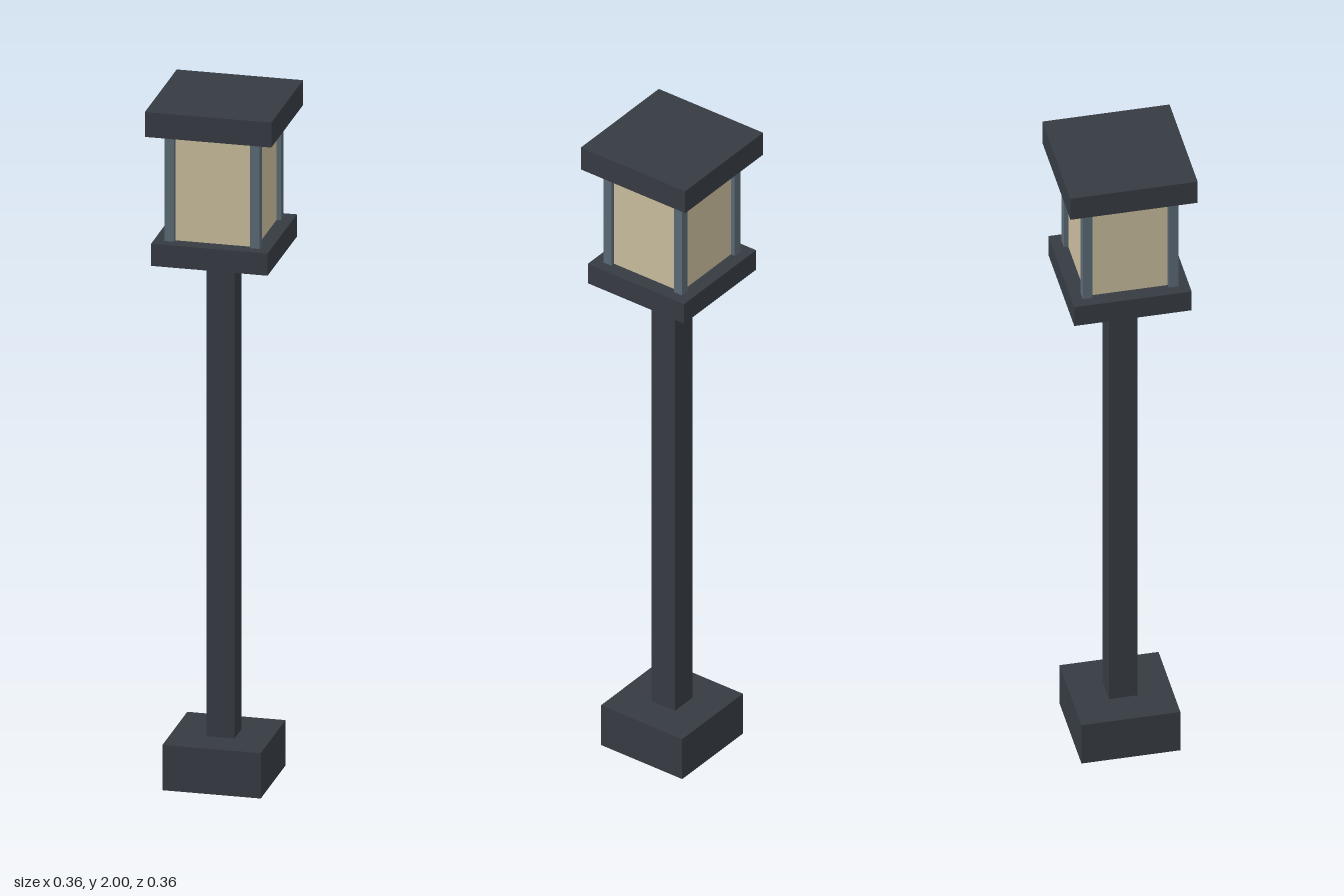
import * as THREE from 'three';

export function createModel() {
  const model = new THREE.Group();
  model.name = 'lampPost';

  const darkMetal = new THREE.MeshStandardMaterial({ name: 'dark metal', color: 0x363b42 });
  const frameMetal = new THREE.MeshStandardMaterial({ name: 'blue grey metal', color: 0x5b6a74 });
  const warmGlass = new THREE.MeshStandardMaterial({ name: 'warm glass', color: 0xc8bc9c });

  // Square block of the given width between two heights
  function block(name, width, bottom, top, material, x = 0, z = 0) {
    const mesh = new THREE.Mesh(new THREE.BoxGeometry(width, top - bottom, width), material);
    mesh.name = name;
    mesh.position.set(x, (bottom + top) / 2, z);
    model.add(mesh);
  }

  // Foot, pole and lantern
  block('base', 0.28, 0, 0.133, darkMetal);
  block('pole', 0.08, 0.133, 1.545, darkMetal);
  block('lanternTray', 0.332, 1.545, 1.61, darkMetal);
  block('lanternGlass', 0.245, 1.61, 1.927, warmGlass);
  block('lanternCap', 0.36, 1.927, 2, darkMetal);

  // Corner posts of the lantern
  for (const x of [-1, 1]) {
    for (const z of [-1, 1]) {
      block('cornerPost', 0.027, 1.61, 1.927, frameMetal, x * 0.1215, z * 0.1215);
    }
  }

  return model;
}
